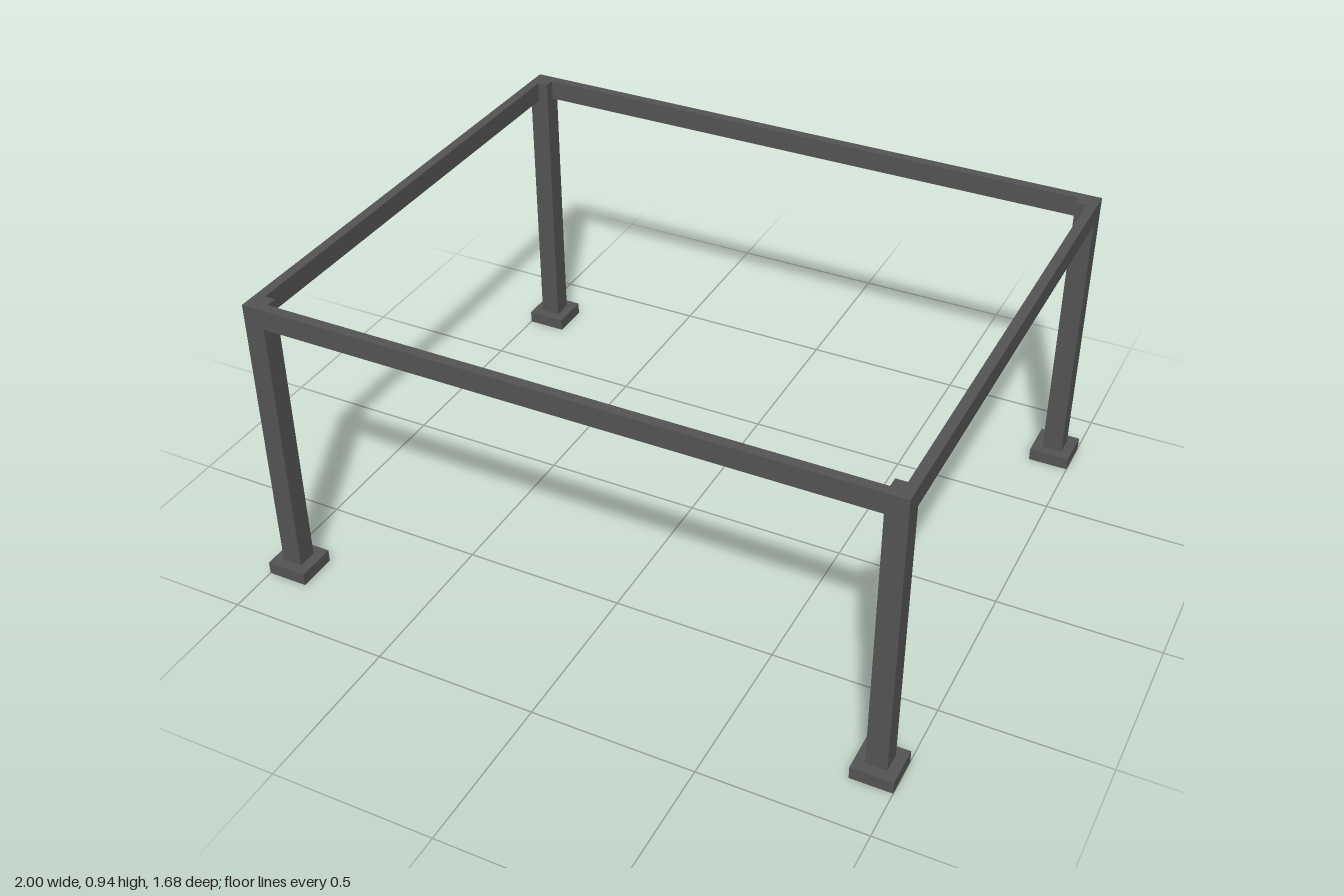
import * as THREE from 'three';

export function createModel() {
  const model = new THREE.Group();
  const material = new THREE.MeshStandardMaterial({ color: 0x555555 });
  const top = 0.945, footHeight = 0.04, footSize = 0.126;
  const legSize = 0.063, railHeight = 0.063, railDepth = 0.03;
  const legX = 0.937, legZ = 0.777; // leg centres

  function box(name, w, h, d, x, y, z) {
    const mesh = new THREE.Mesh(new THREE.BoxGeometry(w, h, d), material);
    mesh.name = name;
    mesh.position.set(x, y, z);
    model.add(mesh);
  }

  // Four square posts, each on a wider foot plate
  for (const [end, sz] of [['front', 1], ['back', -1]]) {
    for (const [side, sx] of [['Left', 1], ['Right', -1]]) {
      const x = sx * legX, z = sz * legZ;
      box(`${end}${side}Foot`, footSize, footHeight, footSize, x, footHeight / 2, z);
      box(`${end}${side}Leg`, legSize, top - footHeight, legSize, x, (top + footHeight) / 2, z);
    }
  }

  // Flat rails between the posts, flush with their outer faces
  const railY = top - railHeight / 2;
  const inset = (legSize - railDepth) / 2;
  for (const [name, s] of [['front', 1], ['back', -1]])
    box(`${name}Rail`, 2 * legX - legSize, railHeight, railDepth, 0, railY, s * (legZ + inset));
  for (const [name, s] of [['left', 1], ['right', -1]])
    box(`${name}Rail`, railDepth, railHeight, 2 * legZ - legSize, s * (legX + inset), railY, 0);

  return model;
}
